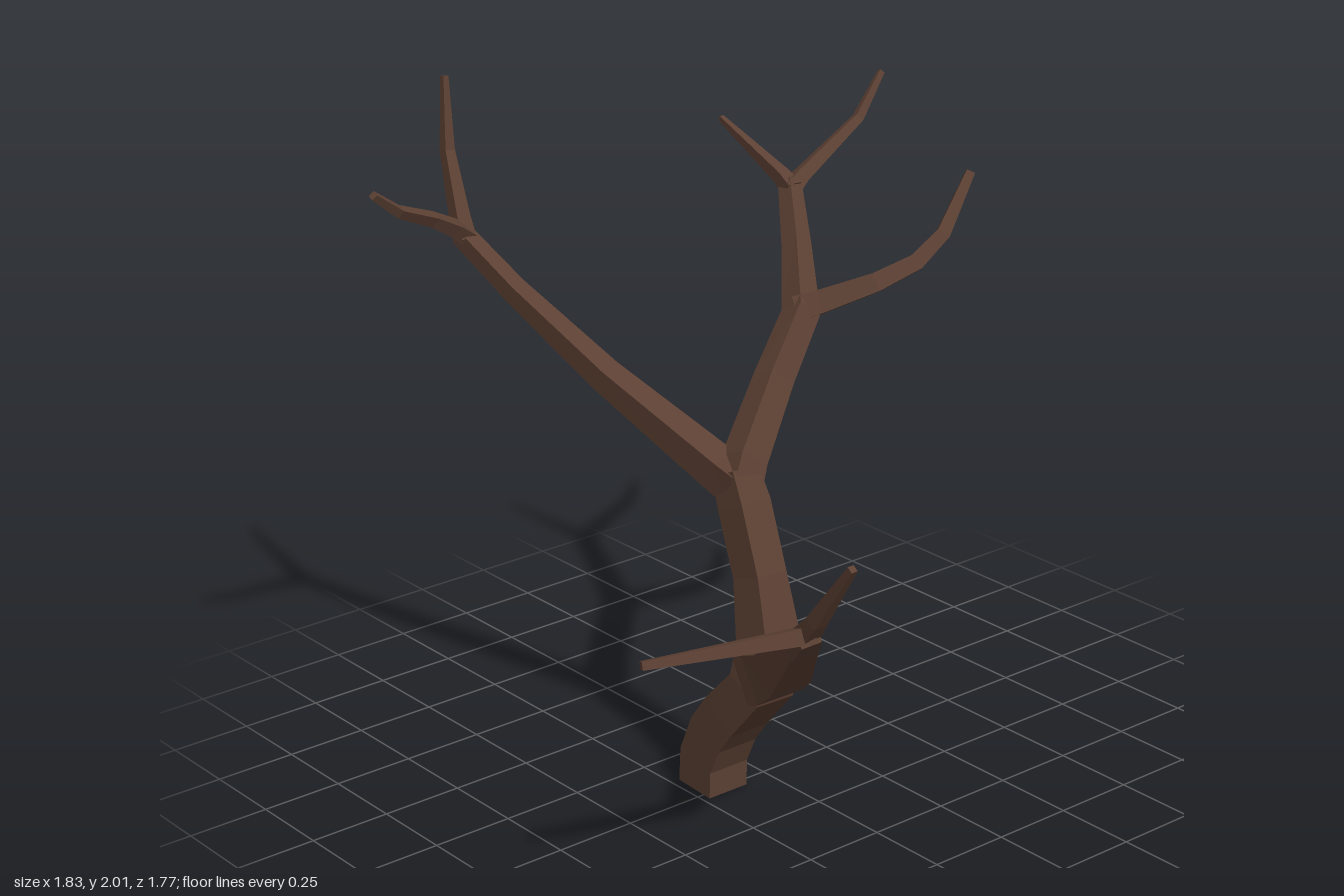
import * as THREE from 'three';

// Square limb swept along a path; each point is [x, y, z, width]
function limbGeometry(path) {
  const pts = path.map(p => new THREE.Vector3(p[0], p[1], p[2]));
  const n = pts.length;
  const u = new THREE.Vector3(0, 0, 1);
  const positions = [];
  const index = [];
  pts.forEach((p, i) => {
    // mitred tangent at bends
    const t = new THREE.Vector3();
    if (i > 0) t.add(p.clone().sub(pts[i - 1]).normalize());
    if (i < n - 1) t.add(pts[i + 1].clone().sub(p).normalize());
    t.normalize();
    u.addScaledVector(t, -u.dot(t)).normalize();
    const v = t.clone().cross(u);
    const h = path[i][3] / 2;
    for (const [a, b] of [[1, -1], [1, 1], [-1, 1], [-1, -1]]) {
      const c = p.clone().addScaledVector(u, a * h).addScaledVector(v, b * h);
      positions.push(c.x, c.y, c.z);
    }
  });
  for (let i = 0; i < n - 1; i++) {
    for (let k = 0; k < 4; k++) {
      const a = i * 4 + k, b = i * 4 + (k + 1) % 4;
      index.push(a, b, b + 4, a, b + 4, a + 4);
    }
  }
  // end caps
  const e = (n - 1) * 4;
  index.push(0, 2, 1, 0, 3, 2, e, e + 1, e + 2, e, e + 2, e + 3);
  const g = new THREE.BufferGeometry();
  g.setAttribute('position', new THREE.Float32BufferAttribute(positions, 3));
  g.setIndex(index);
  const flat = g.toNonIndexed();
  flat.computeVertexNormals();
  return flat;
}

const LIMBS = {
  trunk: [
    [-0.04, 0, 0.16, 0.14], [-0.035, 0.095, 0.16, 0.14], [0.01, 0.195, 0.16, 0.14],
    [0.07, 0.275, 0.16, 0.14], [0.18, 0.395, 0.16, 0.135], [0.205, 0.52, 0.15, 0.135],
    [0.15, 0.72, 0.14, 0.108], [0.07, 0.91, 0.13, 0.108], [0.03, 1.0, 0.13, 0.095],
  ],
  // lower limb and its twigs
  lowerBranch: [
    [0.17, 0.42, 0.16, 0.14], [0.225, 0.45, 0.16, 0.15], [0.33, 0.515, 0.21, 0.125],
    [0.535, 0.70, 0.33, 0.085], [0.65, 0.775, 0.41, 0.068], [0.71, 0.82, 0.45, 0.058],
  ],
  lowerUpTwig: [[0.685, 0.805, 0.44, 0.058], [0.75, 0.875, 0.455, 0.042], [0.905, 1.08, 0.47, 0.02]],
  lowerFrontTwig: [[0.705, 0.82, 0.43, 0.055], [0.69, 0.815, 0.48, 0.045], [0.545, 0.803, 0.88, 0.023]],
  // long side limb and its twigs
  sideBranch: [
    [0.05, 0.96, 0.13, 0.1], [-0.02, 0.99, 0.145, 0.095], [-0.36, 1.212, 0.285, 0.072],
    [-0.63, 1.425, 0.4, 0.055], [-0.785, 1.565, 0.465, 0.05],
  ],
  sideUpTwig: [
    [-0.77, 1.55, 0.465, 0.05], [-0.8, 1.61, 0.46, 0.045],
    [-0.88, 1.79, 0.44, 0.032], [-0.91, 2.0, 0.42, 0.017],
  ],
  sideFrontTwig: [
    [-0.78, 1.56, 0.455, 0.05], [-0.76, 1.6, 0.51, 0.042], [-0.735, 1.65, 0.6, 0.034],
    [-0.695, 1.71, 0.74, 0.028], [-0.668, 1.783, 0.84, 0.02],
  ],
  // rear limb, forking twice
  rearBranch: [
    [0.045, 0.96, 0.13, 0.1], [0.025, 1.02, 0.09, 0.095], [-0.06, 1.195, -0.09, 0.085],
    [-0.125, 1.345, -0.25, 0.08], [-0.285, 1.485, -0.37, 0.062], [-0.43, 1.615, -0.47, 0.05],
  ],
  rearBackTwig: [
    [-0.415, 1.6, -0.45, 0.052], [-0.43, 1.63, -0.51, 0.042],
    [-0.465, 1.755, -0.77, 0.027], [-0.485, 1.875, -0.88, 0.017],
  ],
  rearSideTwig: [[-0.41, 1.605, -0.46, 0.05], [-0.455, 1.635, -0.46, 0.04], [-0.7, 1.767, -0.43, 0.015]],
  curvedBranch: [
    [-0.14, 1.35, -0.24, 0.075], [-0.1, 1.37, -0.3, 0.068], [-0.005, 1.425, -0.43, 0.055],
    [0.045, 1.475, -0.54, 0.048], [0.067, 1.55, -0.625, 0.04], [0.055, 1.71, -0.74, 0.026],
  ],
};

export function createModel() {
  const bark = new THREE.MeshStandardMaterial({ color: 0x5c4033 });
  bark.name = 'brown bark';
  bark.flatShading = true;
  const tree = new THREE.Group();
  tree.name = 'bareTree';
  for (const [name, path] of Object.entries(LIMBS)) {
    const mesh = new THREE.Mesh(limbGeometry(path), bark);
    mesh.name = name;
    tree.add(mesh);
  }
  return tree;
}
